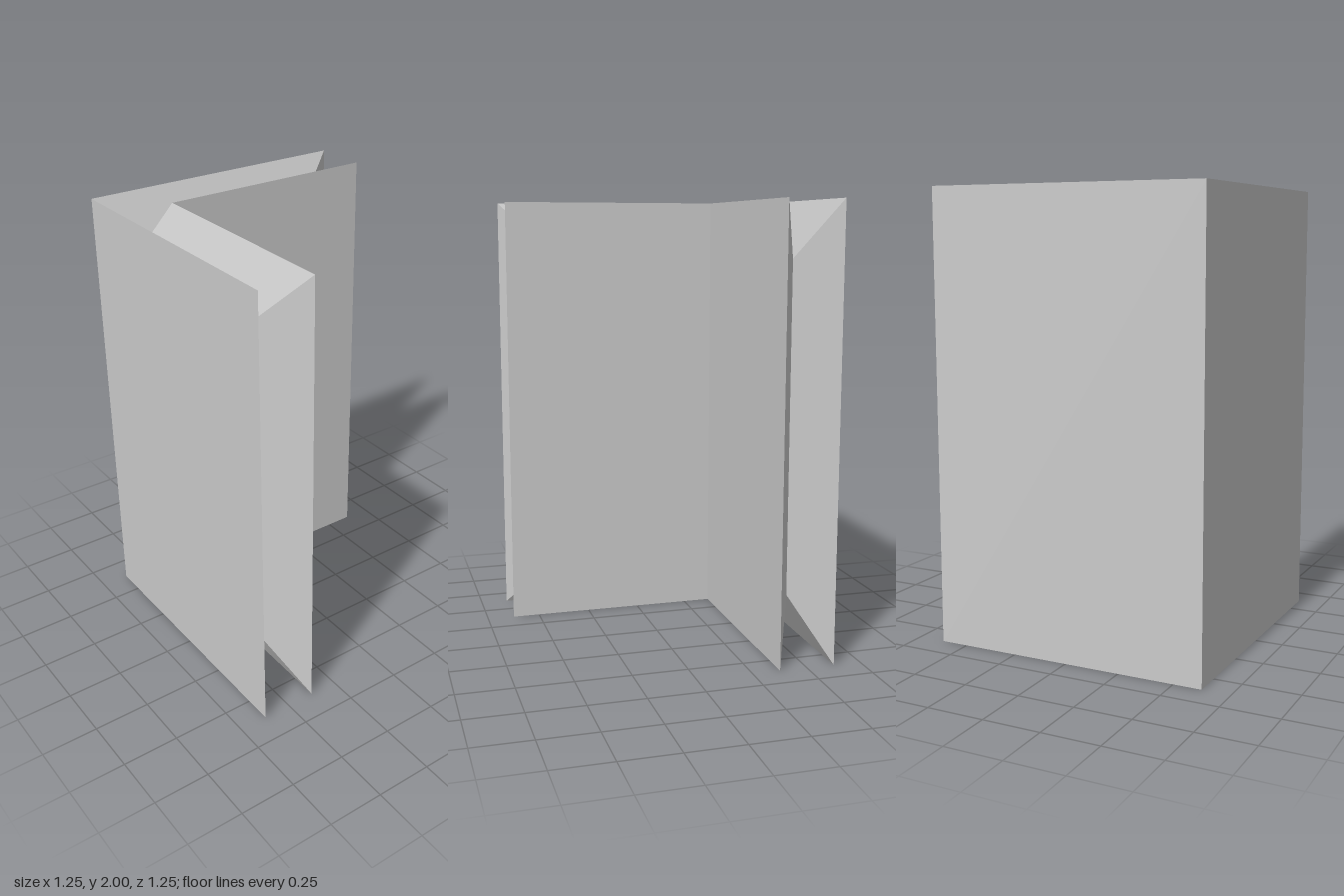
import * as THREE from 'three';

const H = 2, R = 0.625, T = 0.25, D = 0.25; // height, half width, wall thickness, groove depth
const MID = R - T / 2;                      // centre line of the wall

// Rectangle in the plane z, from the mitred corner x0 to the free end x1
const rect = (x0, x1, y0, y1, z) =>
  [[x0, y0, z], [x1, y0, z], [x1, y1, z], [x0, y1, z]].map(p => new THREE.Vector3(...p));

// One wall face plus the sloped groove sides folding back from its bottom, end and top
function sheet(name, z, mirrored, material) {
  const rim = rect(-z, R, 0, H, z);
  const valley = rect(-MID, R - D, D, H - D, MID);
  const quads = [rim];
  for (let i = 0; i < 3; i++) quads.push([rim[i], valley[i], valley[i + 1], rim[i + 1]]);

  const flip = (z < MID) !== mirrored;
  const points = [];
  for (const q of quads) {
    const [a, b, c, d] = flip ? [...q].reverse() : q;
    points.push(a, b, c, a, c, d);
  }
  // The second arm is the first one reflected across the diagonal of the corner
  const placed = points.map(p => mirrored ? new THREE.Vector3(-p.z, p.y, -p.x) : p);
  const geometry = new THREE.BufferGeometry().setFromPoints(placed);
  geometry.computeVertexNormals();
  const mesh = new THREE.Mesh(geometry, material);
  mesh.name = name;
  return mesh;
}

export function createModel() {
  const model = new THREE.Group();
  model.name = 'groovedCornerWall';
  const material = new THREE.MeshStandardMaterial({ color: 0xcccccc, flatShading: true });
  for (const [name, mirrored] of [['frontWall', false], ['sideWall', true]]) {
    const wall = new THREE.Group();
    wall.name = name;
    wall.add(sheet('outerSheet', R, mirrored, material));
    wall.add(sheet('innerSheet', R - T, mirrored, material));
    model.add(wall);
  }
  return model;
}
